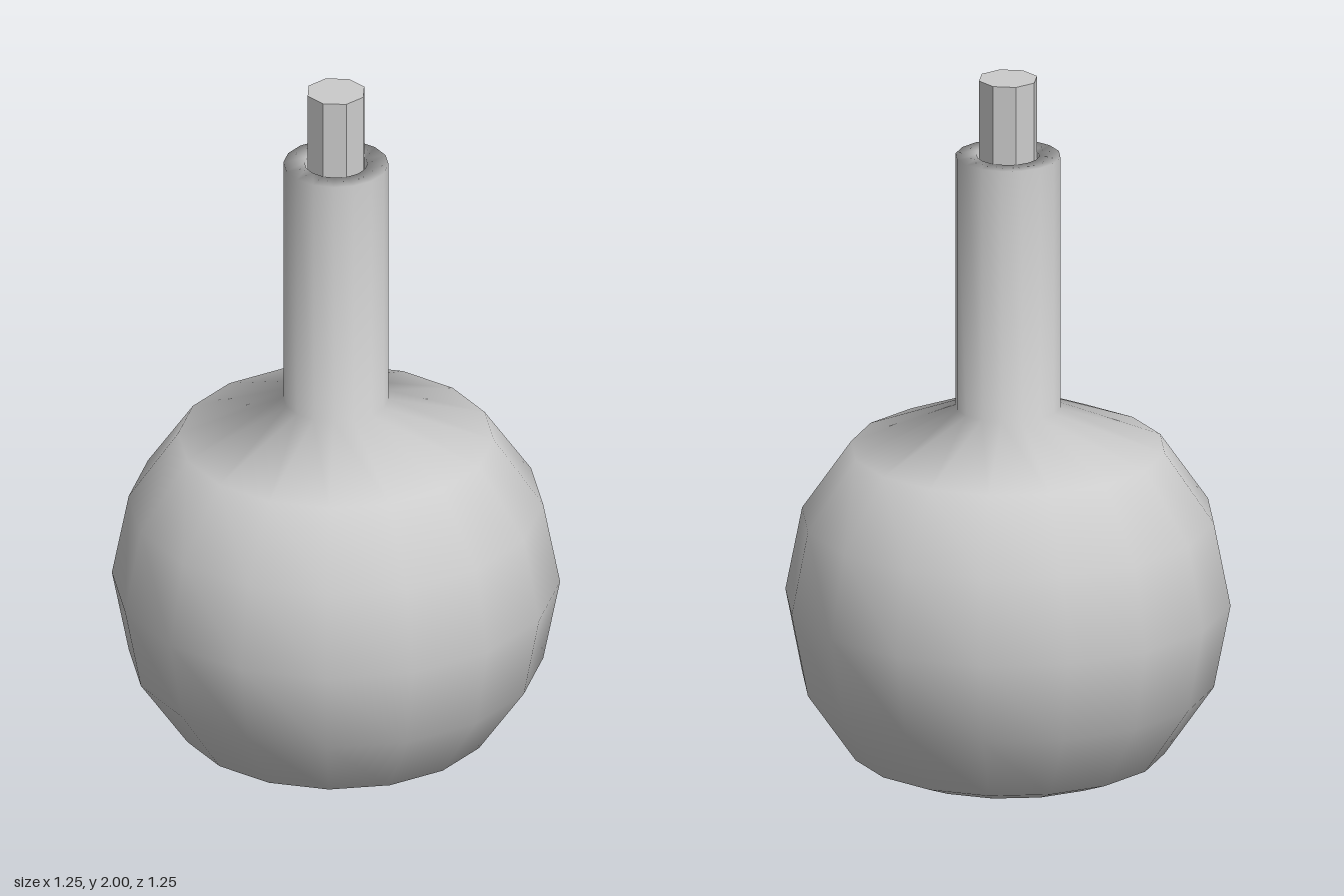
import * as THREE from 'three';

const SIDES = 16;

export function createModel() {
  const group = new THREE.Group();
  group.name = 'flask';

  // Round body, shoulder and neck in one smooth turned shape, with a socket for the stopper
  const profile = [
    [0, 0], [0.34, 0], [0.44, 0.04], [0.578, 0.24], [0.625, 0.48],
    [0.578, 0.72], [0.44, 0.92], [0.147, 1.04], [0.147, 1.775],
    [0.088, 1.775], [0.088, 1.55], [0, 1.55],
  ].map(([r, y]) => new THREE.Vector2(r, y));
  const body = new THREE.Mesh(
    new THREE.LatheGeometry(profile, SIDES),
    new THREE.MeshStandardMaterial({ color: 0xcccccc }),
  );
  body.name = 'flaskBody';
  group.add(body);

  // Faceted stopper, pushed into the neck
  const bottom = 1.56, top = 2;
  const stopper = new THREE.Mesh(
    new THREE.CylinderGeometry(0.084, 0.084, top - bottom, 8),
    new THREE.MeshStandardMaterial({ color: 0xcccccc, flatShading: true }),
  );
  stopper.name = 'stopper';
  stopper.position.y = (top + bottom) / 2;
  group.add(stopper);

  return group;
}
